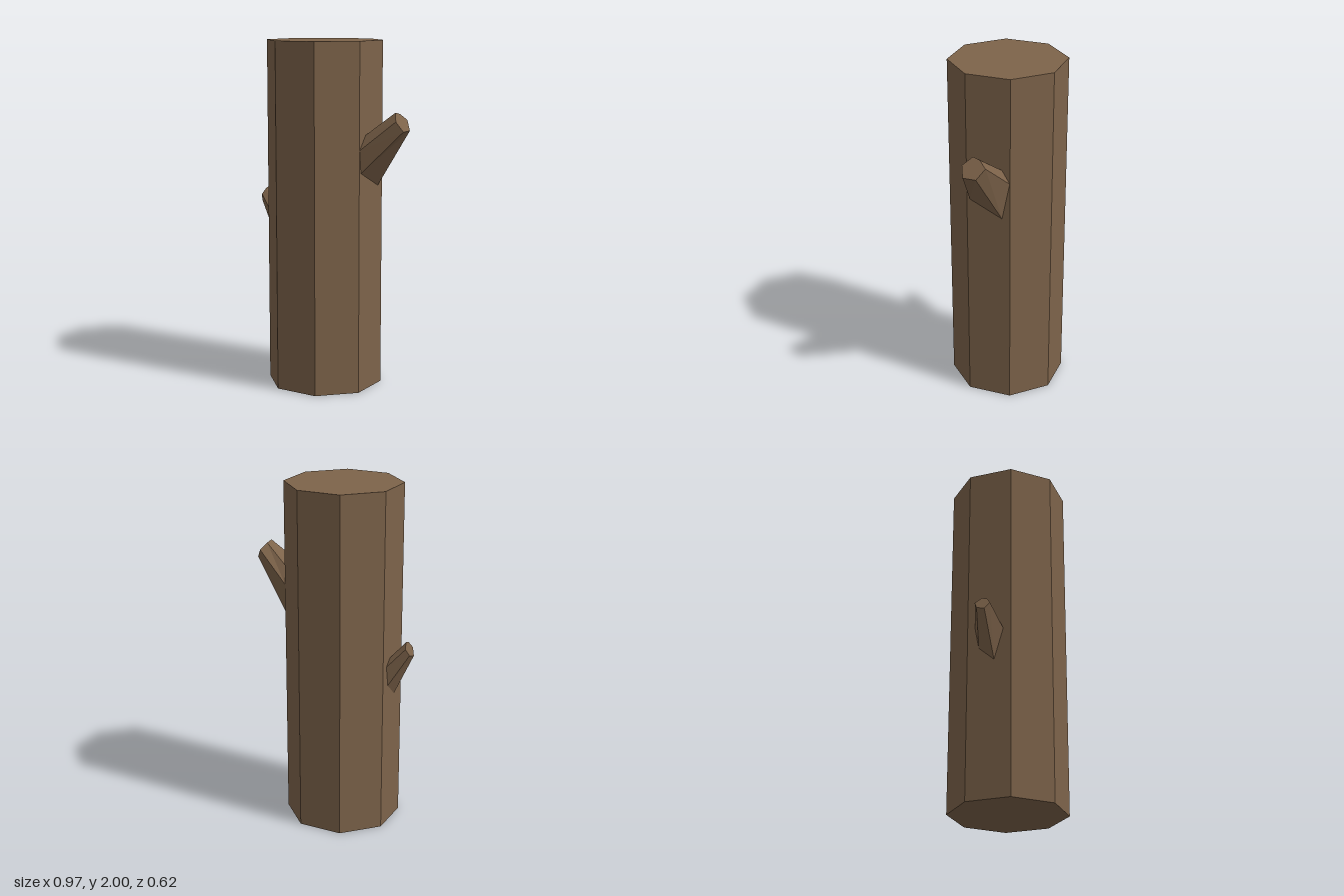
import * as THREE from 'three';

const SIDES = 8, APOTHEM = 0.308, TRUNK_X = -0.057;

// Tapered stub: rings of [y, z] points, placed by base x and a slanted tip plane
function stubGeometry(baseX, baseRing, tipRing, tipX, tipY, slant) {
  const base = baseRing.map(([y, z]) => [baseX, y, z]);
  const tip = tipRing.map(([y, z]) => [tipX + (y - tipY) * slant, y, z]);
  const n = base.length, pos = [];
  for (let i = 0; i < n; i++) {
    const j = (i + 1) % n;
    pos.push(...base[i], ...base[j], ...tip[j]);
    pos.push(...base[i], ...tip[j], ...tip[i]);
    if (i > 0 && i < n - 1) pos.push(...tip[0], ...tip[i], ...tip[j]);
  }
  const geo = new THREE.BufferGeometry();
  geo.setAttribute('position', new THREE.Float32BufferAttribute(pos, 3));
  geo.computeVertexNormals();
  return geo;
}

export function createModel() {
  const group = new THREE.Group();
  group.name = 'log';
  const bark = new THREE.MeshStandardMaterial({ color: 0x7d634a, flatShading: true });
  bark.name = 'bark brown';

  const add = (name, geo) => {
    const mesh = new THREE.Mesh(geo, bark);
    mesh.name = name;
    group.add(mesh);
    return mesh;
  };

  // Octagonal trunk with flat sides facing the axes
  const r = APOTHEM / Math.cos(Math.PI / SIDES);
  const trunk = new THREE.CylinderGeometry(r, r, 2, SIDES);
  trunk.rotateY(Math.PI / SIDES);
  add('trunk', trunk).position.set(TRUNK_X, 1, 0);

  // Large upper stub on the left side
  add('upperBranch', stubGeometry(
    TRUNK_X + APOTHEM,
    [[1.48, 0.06], [1.4, 0.125], [1.27, 0.11], [1.18, -0.08], [1.4, -0.125], [1.475, -0.08]],
    [[1.61, 0.02], [1.565, 0.072], [1.51, 0.053], [1.51, -0.022], [1.565, -0.062], [1.6, -0.02]],
    0.451, 1.56, -0.68));

  // Small lower stub on the right side
  add('lowerBranch', stubGeometry(
    TRUNK_X - APOTHEM,
    [[1.03, -0.035], [0.99, -0.083], [0.87, -0.06], [0.79, 0.03], [0.97, 0.083], [1.015, 0.04]],
    [[1.13, -0.012], [1.1, -0.048], [1.06, -0.03], [1.045, 0.018], [1.085, 0.044], [1.12, 0.02]],
    -0.469, 1.088, 0.44));

  return group;
}
